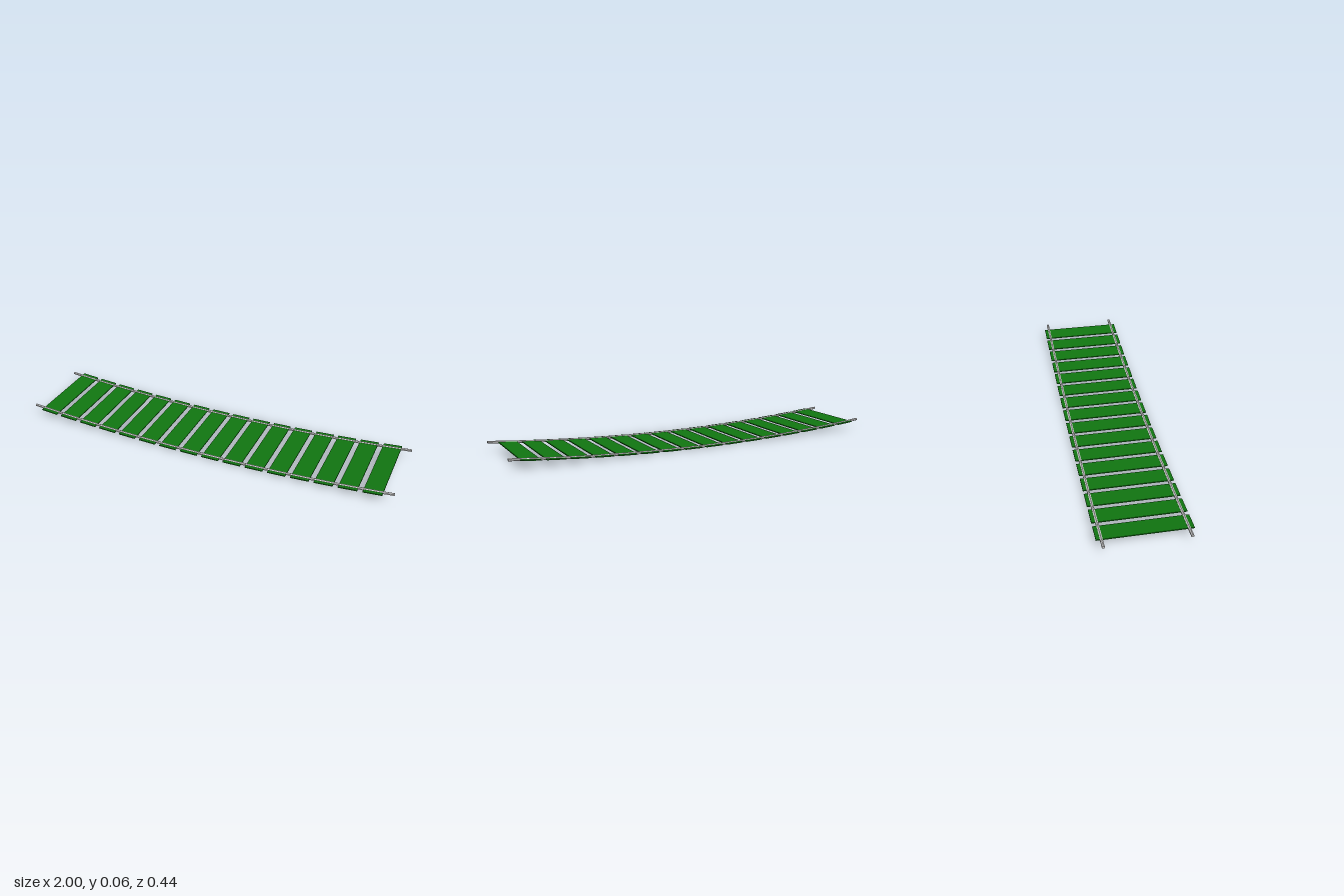
import * as THREE from 'three';

const ROPE_RADIUS = 0.0072;
const SAG = 0.048;
const PLANKS = 16;
const SPACING = 0.12;

// Height of the sagging bridge along its length
const sagY = (x) => ROPE_RADIUS + SAG * x * x;

export function createModel() {
  const bridge = new THREE.Group();
  bridge.name = 'hangingBridge';
  const ropeMaterial = new THREE.MeshStandardMaterial({ color: 0xcccccc, flatShading: true });
  const plankMaterial = new THREE.MeshStandardMaterial({ color: 0x117711 });

  // Six-sided rope with a ridge on top, bent to follow the sag
  const ropeGeometry = new THREE.CylinderGeometry(ROPE_RADIUS, ROPE_RADIUS, 2, 6, 32);
  ropeGeometry.rotateY(Math.PI / 2).rotateZ(Math.PI / 2);
  const pos = ropeGeometry.attributes.position;
  for (let i = 0; i < pos.count; i++) pos.setY(i, pos.getY(i) + sagY(pos.getX(i)));
  ropeGeometry.computeVertexNormals();
  for (const side of [1, -1]) {
    const rope = new THREE.Mesh(ropeGeometry, ropeMaterial);
    rope.name = side > 0 ? 'frontRope' : 'backRope';
    rope.position.z = side * 0.195;
    bridge.add(rope);
  }

  // Thin planks, each tilted to the local slope
  const plankGeometry = new THREE.BoxGeometry(0.094, 0.005, 0.438);
  for (let i = 0; i < PLANKS; i++) {
    const x = (i - (PLANKS - 1) / 2) * SPACING;
    const plank = new THREE.Mesh(plankGeometry, plankMaterial);
    plank.name = `plank${i + 1}`;
    plank.position.set(x, sagY(x), 0);
    plank.rotation.z = Math.atan(2 * SAG * x);
    bridge.add(plank);
  }
  return bridge;
}
